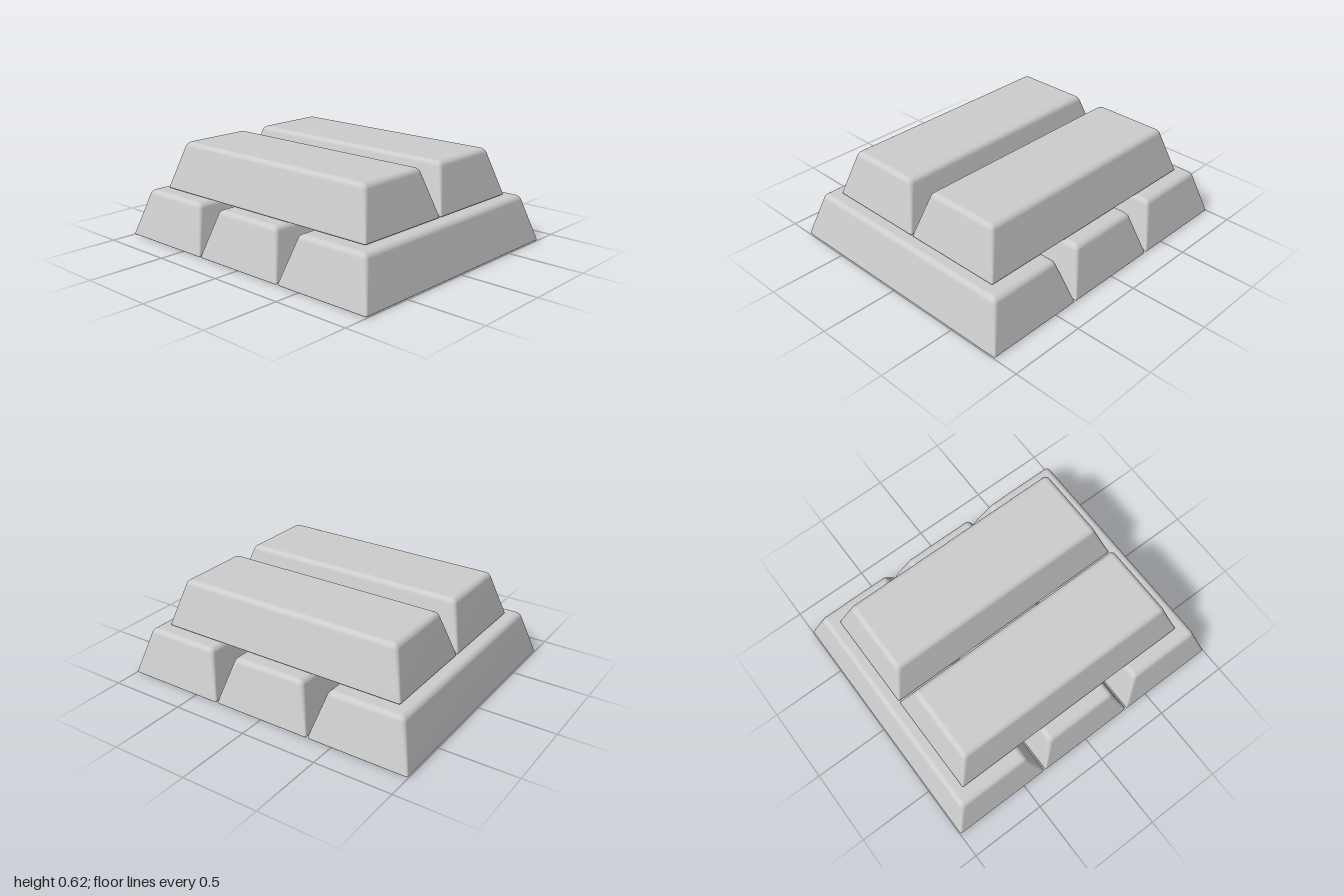
import * as THREE from 'three';
import { mergeVertices } from 'three/addons/utils/BufferGeometryUtils.js';
import { RoundedBoxGeometry } from 'three/addons/geometries/RoundedBoxGeometry.js';

const LENGTH = 1.68, WIDTH = 0.664, HEIGHT = 0.305;
const INSET = 0.087; // how far each side leans in towards the top

// Tapered bar along x, standing on y = 0, with soft top edges and tighter bottom edges
function ingotGeometry() {
  const rounded = new RoundedBoxGeometry(LENGTH, HEIGHT, WIDTH, 3, 0.03);
  rounded.deleteAttribute('normal');
  rounded.deleteAttribute('uv');
  const geometry = mergeVertices(rounded, 1e-5);
  const p = geometry.attributes.position;
  for (let i = 0; i < p.count; i++) {
    const sx = Math.sign(p.getX(i)), sy = Math.sign(p.getY(i)), sz = Math.sign(p.getZ(i));
    const cx = sx * LENGTH / 2, cy = sy * HEIGHT / 2, cz = sz * WIDTH / 2;
    const k = sy < 0 ? 0.4 : 1; // shrink the rounding at the base
    const y = cy + (p.getY(i) - cy) * k + HEIGHT / 2;
    const lean = INSET * y / HEIGHT;
    p.setXYZ(i,
      cx + (p.getX(i) - cx) * k - sx * lean,
      y,
      cz + (p.getZ(i) - cz) * k - sz * lean);
  }
  geometry.computeVertexNormals();
  return geometry;
}

export function createModel() {
  const model = new THREE.Group();
  model.name = 'ingotStack';
  const metal = new THREE.MeshStandardMaterial({ color: 0xcccccc });
  metal.name = 'pale grey metal';
  const geometry = ingotGeometry();

  const addIngot = (name, x, y, z, turn) => {
    const ingot = new THREE.Mesh(geometry, metal);
    ingot.name = name;
    ingot.position.set(x, y, z);
    ingot.rotation.y = turn;
    model.add(ingot);
  };

  // Bottom layer: three bars lying across
  ['Back', 'Middle', 'Front'].forEach((side, i) =>
    addIngot('lowerIngot' + side, 0, 0, (i - 1) * 0.668, 0));

  // Top layer: two bars lying front to back
  ['Right', 'Left'].forEach((side, i) =>
    addIngot('upperIngot' + side, (i - 0.5) * 0.668, 0.31, 0, Math.PI / 2));

  return model;
}
